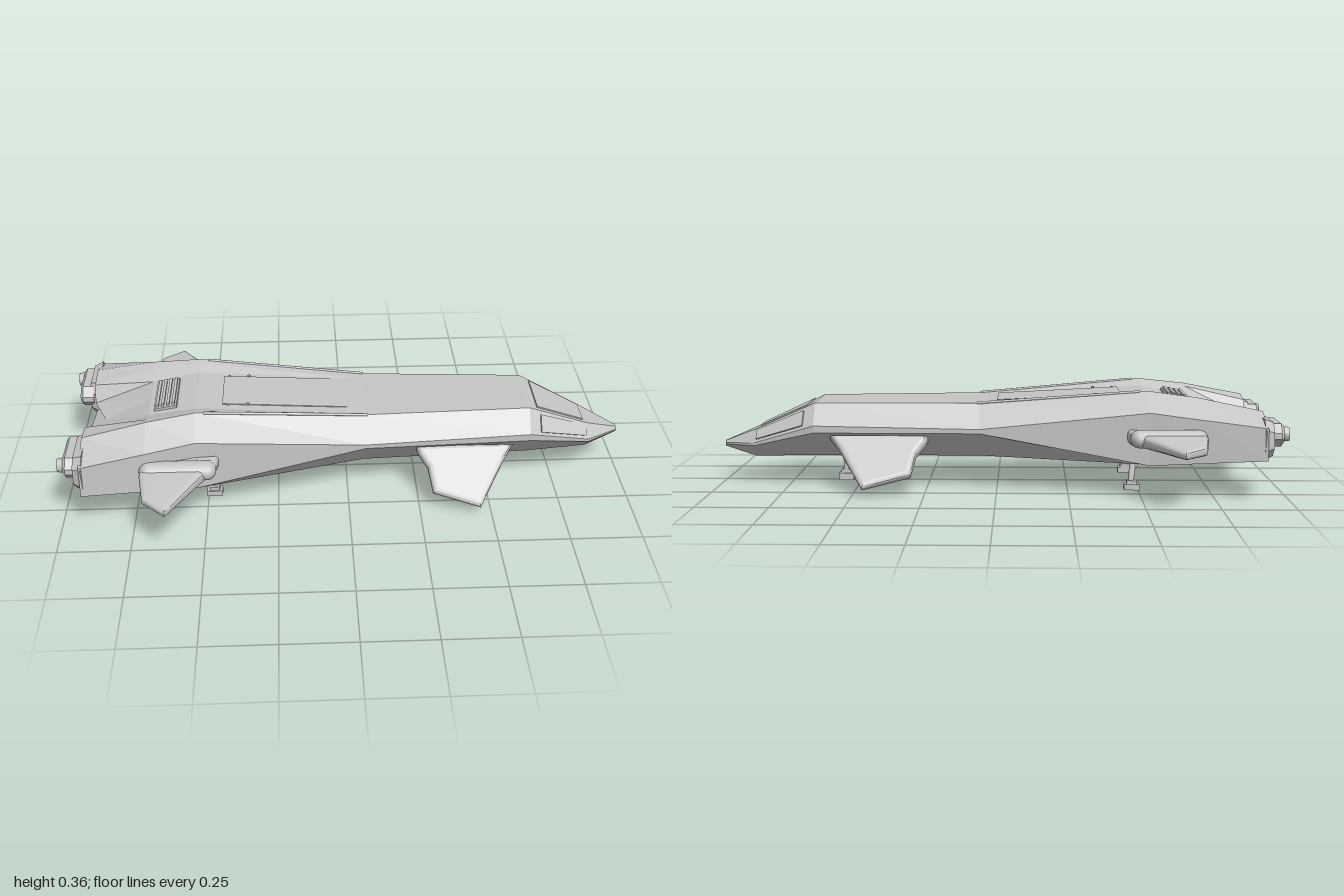
import * as THREE from 'three';

const hullGrey = new THREE.MeshStandardMaterial({ color: 0xc6c6c6 });
hullGrey.name = 'hullGrey';
const V = (x, y, z) => new THREE.Vector3(x, y, z);

// Closed, flat-shaded skin over rings of points running from tail (-x) to nose (+x);
// each ring runs top -> +z side -> bottom -> -z side.
function loft(rings) {
  const out = [], n = rings[0].length;
  const tri = (...p) => p.forEach(v => out.push(v.x, v.y, v.z));
  for (let i = 0; i + 1 < rings.length; i++) {
    for (let j = 0; j < n; j++) {
      const k = (j + 1) % n, A = rings[i], B = rings[i + 1];
      tri(A[j], A[k], B[k]);
      tri(A[j], B[k], B[j]);
    }
  }
  [[rings[0], -1], [rings[rings.length - 1], 1]].forEach(([r, dir]) => {
    const flat = r.map(p => new THREE.Vector2(p.z, p.y));
    for (const [a, b, c] of THREE.ShapeUtils.triangulateShape(flat, [])) {
      const nx = r[b].clone().sub(r[a]).cross(r[c].clone().sub(r[a])).x;
      if (nx * dir > 0) tri(r[a], r[b], r[c]); else tri(r[a], r[c], r[b]);
    }
  });
  const g = new THREE.BufferGeometry();
  g.setAttribute('position', new THREE.Float32BufferAttribute(out, 3));
  g.computeVertexNormals();
  return g;
}

// Thin raised plate over four corners, anticlockwise seen from outside
function plate(corners, h = 0.005) {
  const [a, b, c] = corners;
  const nrm = b.clone().sub(a).cross(c.clone().sub(a)).normalize();
  const top = corners.map(p => p.clone().addScaledVector(nrm, h));
  const out = [];
  const quad = (p, q, r, s) => [p, q, r, p, r, s].forEach(v => out.push(v.x, v.y, v.z));
  quad(...top);
  corners.forEach((p, i) => {
    const k = (i + 1) % 4;
    quad(p, corners[k], top[k], top[i]);
  });
  const g = new THREE.BufferGeometry();
  g.setAttribute('position', new THREE.Float32BufferAttribute(out, 3));
  g.computeVertexNormals();
  return g;
}

// Bevelled fin; outline is [x, distance from root], thinner towards the tip
function fin(outline, root, dir, thick, span, taper) {
  const shape = new THREE.Shape(outline.map(p => new THREE.Vector2(...p)));
  const b = thick * 0.35;
  const g = new THREE.ExtrudeGeometry(shape, {
    depth: thick - 2 * b, bevelThickness: b, bevelSize: b, bevelOffset: -b, bevelSegments: 3,
  });
  g.translate(0, 0, b - thick / 2);
  const p = g.attributes.position;
  for (let i = 0; i < p.count; i++) p.setZ(i, p.getZ(i) * (1 - taper * p.getY(i) / span));
  const u = V(1, 0, 0), v = dir.clone().normalize(), w = u.clone().cross(v);
  g.applyMatrix4(new THREE.Matrix4().makeBasis(u, v, w).setPosition(root));
  g.computeVertexNormals();
  return g;
}

export function createModel() {
  const model = new THREE.Group();
  model.name = 'spaceship';
  const add = (name, geo, x = 0, y = 0, z = 0, parent = model) => {
    const m = new THREE.Mesh(geo, hullGrey);
    m.name = name;
    m.position.set(x, y, z);
    parent.add(m);
    return m;
  };
  const strut = (name, a, b, r, parent) => {
    const m = add(name, new THREE.CylinderGeometry(r, r, a.distanceTo(b), 10), 0, 0, 0, parent);
    m.position.copy(a).lerp(b, 0.5);
    m.quaternion.setFromUnitVectors(V(0, 1, 0), b.clone().sub(a).normalize());
  };

  // Hull: half sections as [z, y], from top centre round to bottom centre
  const sections = [
    [-0.92, [[0, .22], [.12, .22], [.15, .28], [.24, .292], [.37, .25], [.375, .14], [.27, .13], [0, .13]]],
    [-0.7, [[0, .305], [.12, .305], [.185, .327], [.218, .335], [.325, .272], [.328, .122], [.25, .116], [0, .116]]],
    [-0.53, [[0, .335], [.13, .335], [.175, .351], [.195, .355], [.29, .29], [.29, .107], [.25, .104], [0, .104]]],
    [0.06, [[0, .305], [.11, .305], [.14, .305], [.15, .305], [.215, .22], [.215, .205], [.14, .115], [0, .115]]],
    [0.65, [[0, .3], [.1, .3], [.115, .3], [.12, .3], [.18, .225], [.18, .2], [.1, .108], [0, .108]]],
    [0.88, [[0, .195], [.05, .195], [.055, .195], [.06, .195], [.1, .15], [.1, .14], [.05, .095], [0, .095]]],
    [1.0, [[0, .145], [.006, .145], [.007, .145], [.008, .145], [.015, .138], [.015, .133], [.008, .125], [0, .125]]],
  ];
  const rings = sections.map(([x, half], i) => {
    // The tail edge is notched in the middle
    const px = z => (i === 0 ? x + 0.05 * Math.max(0, 1 - z / 0.12) : x);
    const side = half.map(([z, y]) => V(px(z), y, z));
    return side.concat(half.slice(1, -1).reverse().map(([z, y]) => V(px(z), y, -z)));
  });
  add('hull', loft(rings));

  // Flat cargo hatch and stepped vent on the upper deck
  add('deckHatch', plate([V(-.44, .3312, .1), V(.0, .3076, .1), V(.0, .3076, -.1), V(-.44, .3312, -.1)], .003));
  add('ventCover', plate([V(-.68, .309, .1), V(-.6, .322, .1), V(-.6, .322, -.1), V(-.68, .309, -.1)], .009));
  for (let i = 0; i < 4; i++) {
    add('ventSlat', new THREE.BoxGeometry(0.01, 0.012, 0.18), -.67 + i * 0.019, .322 + i * .0035, 0);
  }
  for (const x of [-.42, -.35]) for (const z of [-.1, .1]) {
    add('deckStud', new THREE.CylinderGeometry(.005, .005, .008, 8), x, .331, z);
  }

  // Windscreen
  add('windscreen', plate([V(.68, .286, .095), V(.86, .204, .052), V(.86, .204, -.052), V(.68, .286, -.095)]));

  // Tail grille between the engines
  for (let i = 0; i < 3; i++) {
    add('tailGrille', new THREE.BoxGeometry(0.03, 0.01, 0.16), -.875, .15 + i * .022, 0);
  }

  for (const s of [1, -1]) {
    // Cheek window on the sloping side of the cockpit
    const a = V(.69, .27, s * .119), b = V(.69, .222, s * .162);
    const c = V(.87, .162, s * .095), d = V(.87, .192, s * .068);
    add('sideWindow', plate(s > 0 ? [a, b, c, d] : [d, c, b, a]));

    // Raised rail along the deck edge
    strut('deckRail', V(-.5, .352, s * .192), V(.07, .305, s * .15), .005);

    // Engine block: chamfered cap, wide exhaust and round nozzle
    const ring = (x, z0, z1, y0, y1, c) => [
      [z1 - c, y1], [z1, y1 - c], [z1, y0 + c], [z1 - c, y0],
      [z0 + c, y0], [z0, y0 + c], [z0, y1 - c], [z0 + c, y1],
    ].map(([z, y]) => V(x, y, z));
    const span = (z0, z1) => (s > 0 ? [z0, z1] : [-z1, -z0]);
    add('engineCap', loft([
      ring(-.943, ...span(.16, .355), .15, .265, .03),
      ring(-.91, ...span(.14, .372), .135, .278, .035),
    ]));
    add('exhaust', loft([
      ring(-.98, ...span(.155, .335), .19, .25, .025),
      ring(-.97, ...span(.145, .345), .18, .26, .03),
      ring(-.93, ...span(.145, .345), .18, .26, .03),
    ]));
    const nozzle = add('nozzle', new THREE.CylinderGeometry(.024, .028, .035, 16), -.9825, .222, s * .3);
    nozzle.rotation.z = Math.PI / 2;

    // Rear wing with its root pod
    add('rearWing', fin(
      [[-.71, 0], [-.72, .09], [-.70, .22], [-.62, .295], [-.5, .1], [-.46, .05], [-.45, 0]],
      V(0, .207, s * .27), V(0, -.02, s * .29), .055, .295, .5));
    const pod = add('wingPod', new THREE.CapsuleGeometry(.032, .2, 6, 14), -.59, .207, s * .33);
    pod.rotation.z = Math.PI / 2;
    pod.scale.z = 1.3;

    // Front fin sloping down and out
    add('frontFin', fin(
      [[.24, 0], [.25, .03], [.28, .08], [.295, .17], [.46, .225], [.55, .06], [.59, 0]],
      V(0, .182, s * .175), V(0, -.15, s * .165), .05, .225, .45));

    // Rear landing leg
    const gear = new THREE.Group();
    gear.name = 'rearLandingGear';
    model.add(gear);
    strut('leg', V(-.485, .13, s * .14), V(-.475, .02, s * .163), .011, gear);
    strut('brace', V(-.505, .11, s * .143), V(-.48, .055, s * .155), .006, gear);
    add('foot', new THREE.BoxGeometry(.055, .02, .038), -.478, .01, s * .166, gear);
    add('ankle', new THREE.BoxGeometry(.036, .014, .03), -.478, .026, s * .164, gear);
  }

  // Front landing leg
  const nose = new THREE.Group();
  nose.name = 'frontLandingGear';
  model.add(nose);
  strut('leg', V(.535, .13, 0), V(.56, .03, 0), .012, nose);
  strut('brace', V(.575, .12, 0), V(.558, .055, 0), .006, nose);
  add('foot', new THREE.BoxGeometry(.055, .025, .038), .557, .0125, 0, nose);
  add('ankle', new THREE.BoxGeometry(.036, .016, .03), .557, .032, 0, nose);

  return model;
}
